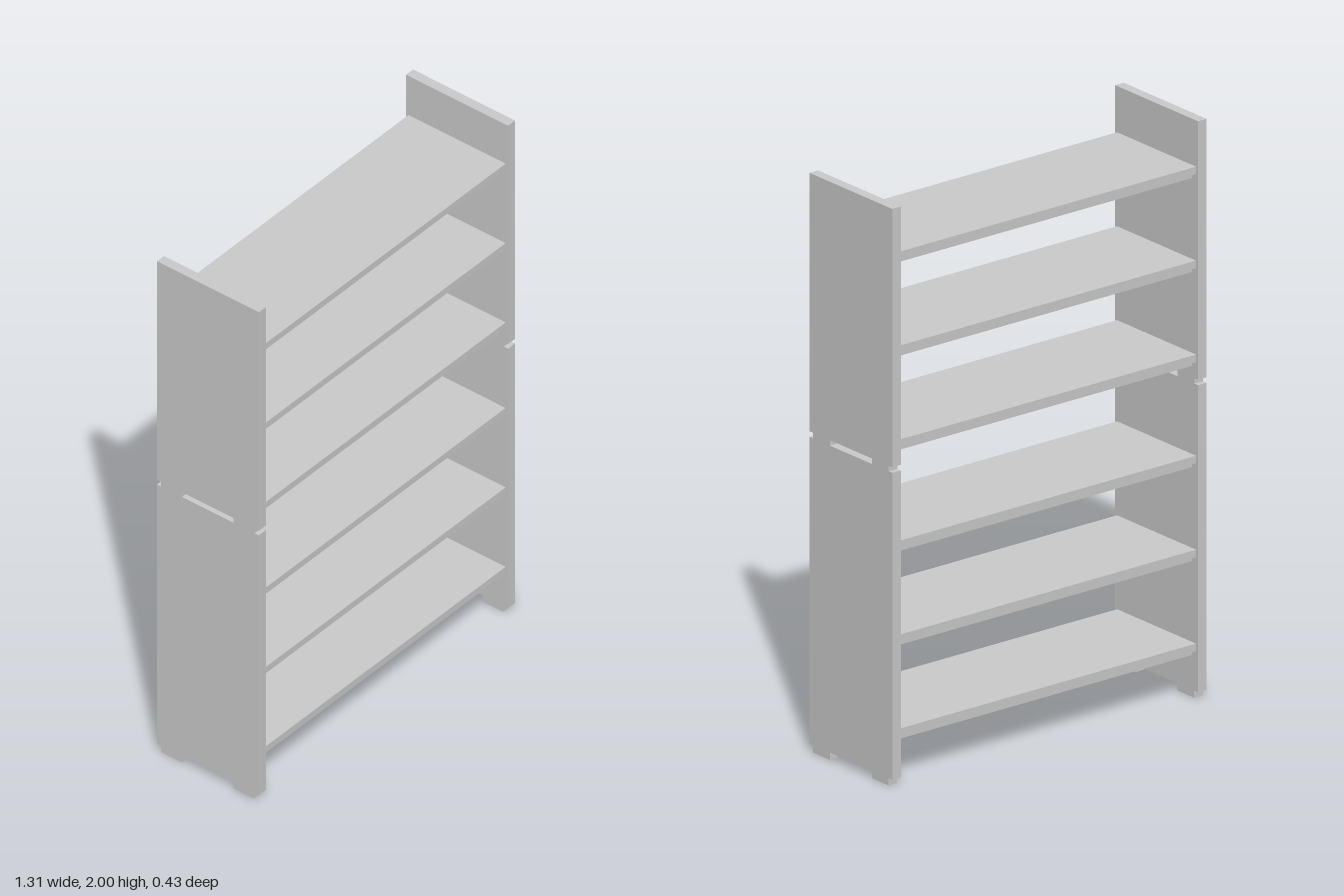
import * as THREE from 'three';

const material = new THREE.MeshStandardMaterial({ color: 0xcccccc, flatShading: true });

function box(name, w, y0, y1, z0, z1, x = 0) {
  const mesh = new THREE.Mesh(new THREE.BoxGeometry(w, y1 - y0, z1 - z0), material);
  mesh.position.set(x, (y0 + y1) / 2, (z0 + z1) / 2);
  mesh.name = name;
  return mesh;
}

// Outline in (z, y): feet at the bottom, notched edges at the joint and a central slot
function sidePanelGeometry(thickness) {
  const half = [
    [0.108, 0.025], [0.108, 0], [0.193, 0], [0.193, 0.025], [0.213, 0.025],
    [0.213, 1.087], [0.195, 1.087], [0.195, 1.106], [0.213, 1.106], [0.213, 2],
  ];
  const outline = [...half, ...half.map(([z, y]) => [-z, y]).reverse()];
  const shape = new THREE.Shape(outline.map(([z, y]) => new THREE.Vector2(z, y)));
  const slot = [[-0.108, 1.087], [-0.108, 1.106], [0.108, 1.106], [0.108, 1.087]];
  shape.holes.push(new THREE.Path(slot.map(([z, y]) => new THREE.Vector2(z, y))));
  const geometry = new THREE.ExtrudeGeometry(shape, { depth: thickness, bevelEnabled: false });
  geometry.translate(0, 0, -thickness / 2);
  geometry.rotateY(Math.PI / 2);
  return geometry;
}

// Board with a stepped rail beneath its front and back edges
function createShelf(top) {
  const shelf = new THREE.Group();
  shelf.name = 'shelf';
  const width = 1.238;
  shelf.add(box('shelfBoard', width, -0.026, 0, -0.203, 0.203));
  shelf.add(box('frontRail', width, -0.046, -0.026, 0.157, 0.181));
  shelf.add(box('backRail', width, -0.046, -0.026, -0.181, -0.157));
  shelf.position.y = top;
  return shelf;
}

export function createModel() {
  const model = new THREE.Group();
  model.name = 'shelvingUnit';

  // Side panels
  const panel = sidePanelGeometry(0.036);
  for (const side of [1, -1]) {
    const mesh = new THREE.Mesh(panel, material);
    mesh.name = side > 0 ? 'leftSidePanel' : 'rightSidePanel';
    mesh.position.x = side * 0.637;
    model.add(mesh);
  }

  // Three shelves in each stacked section
  for (const top of [0.19, 0.515, 0.84, 1.19, 1.515, 1.84]) model.add(createShelf(top));

  return model;
}
